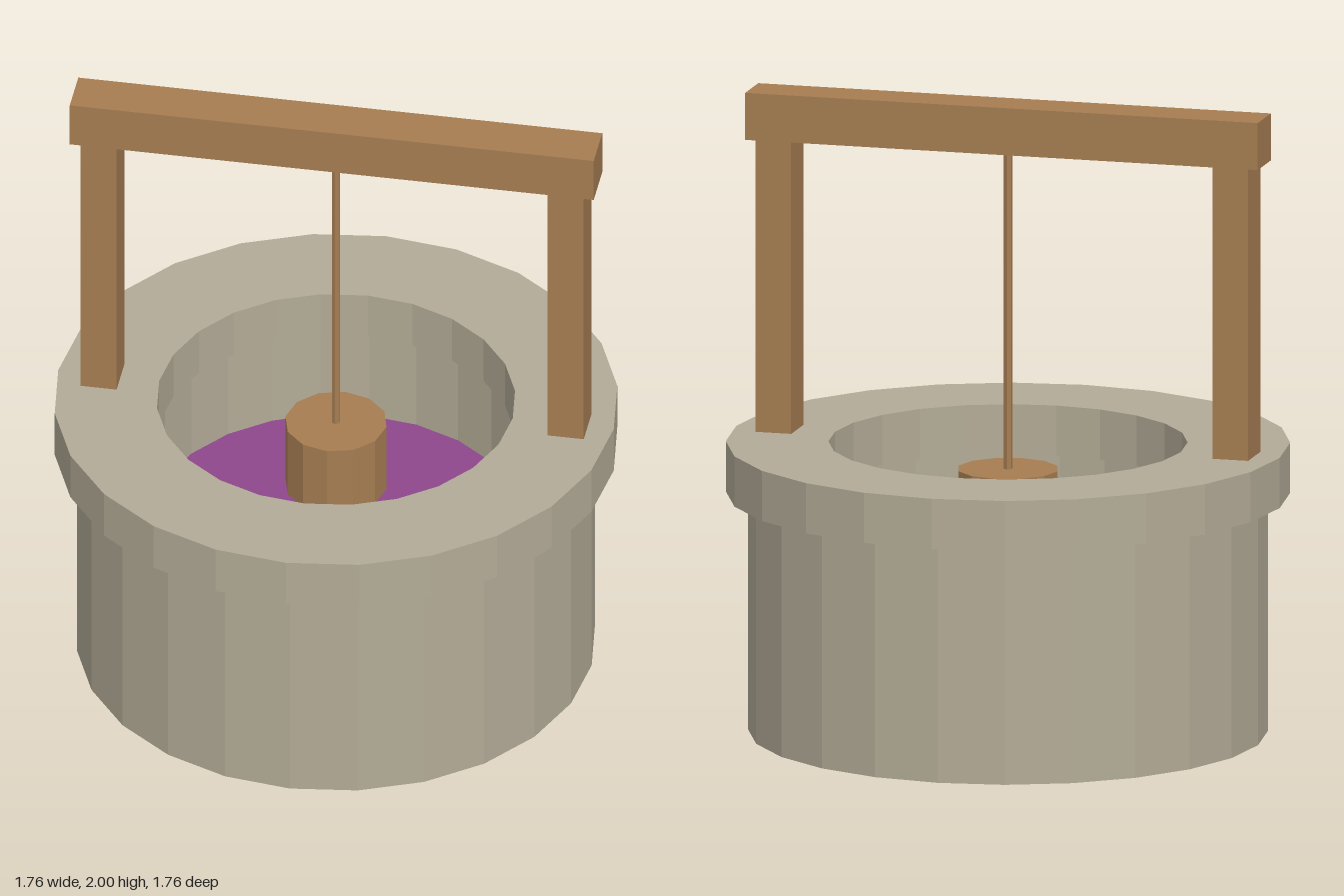
import * as THREE from 'three';

function material(name, color) {
  const m = new THREE.MeshStandardMaterial({ color });
  m.name = name;
  m.flatShading = true;
  return m;
}

export function createModel() {
  const well = new THREE.Group();
  well.name = 'well';
  const stone = material('stone', 0xb3ab97);
  const wood = material('wood', 0xa67d52);
  const water = material('purple water', 0x8e478c);
  water.side = THREE.DoubleSide;

  const add = (name, geometry, mat, x = 0, y = 0, z = 0) => {
    const mesh = new THREE.Mesh(geometry, mat);
    mesh.name = name;
    mesh.position.set(x, y, z);
    well.add(mesh);
    return mesh;
  };

  // Hollow faceted ring with a rectangular section
  const ring = (inner, outer, bottom, top) => new THREE.LatheGeometry([
    [outer, bottom], [outer, top], [inner, top], [inner, bottom], [outer, bottom],
  ].map(([r, y]) => new THREE.Vector2(r, y)), 24);

  // Stone wall, open at the bottom, and its overhanging rim
  add('wall', ring(0.59, 0.81, 0, 0.76), stone);
  add('rim', ring(0.56, 0.88, 0.76, 0.92), stone);

  // Liquid surface inside the shaft
  add('waterSurface', new THREE.CircleGeometry(0.59, 24).rotateX(-Math.PI / 2), water, 0, 0.435);

  // Timber frame
  for (const [name, side] of [['leftPost', 1], ['rightPost', -1]]) {
    add(name, new THREE.BoxGeometry(0.115, 0.93, 0.14), wood, side * 0.74, 1.385);
  }
  add('crossbeam', new THREE.BoxGeometry(1.66, 0.15, 0.15), wood, 0, 1.925);

  // Rope and hanging bucket
  add('rope', new THREE.CylinderGeometry(0.014, 0.014, 1.02, 6), wood, 0, 1.34);
  add('bucket', new THREE.CylinderGeometry(0.16, 0.16, 0.24, 12), wood, 0, 0.715);

  return well;
}
